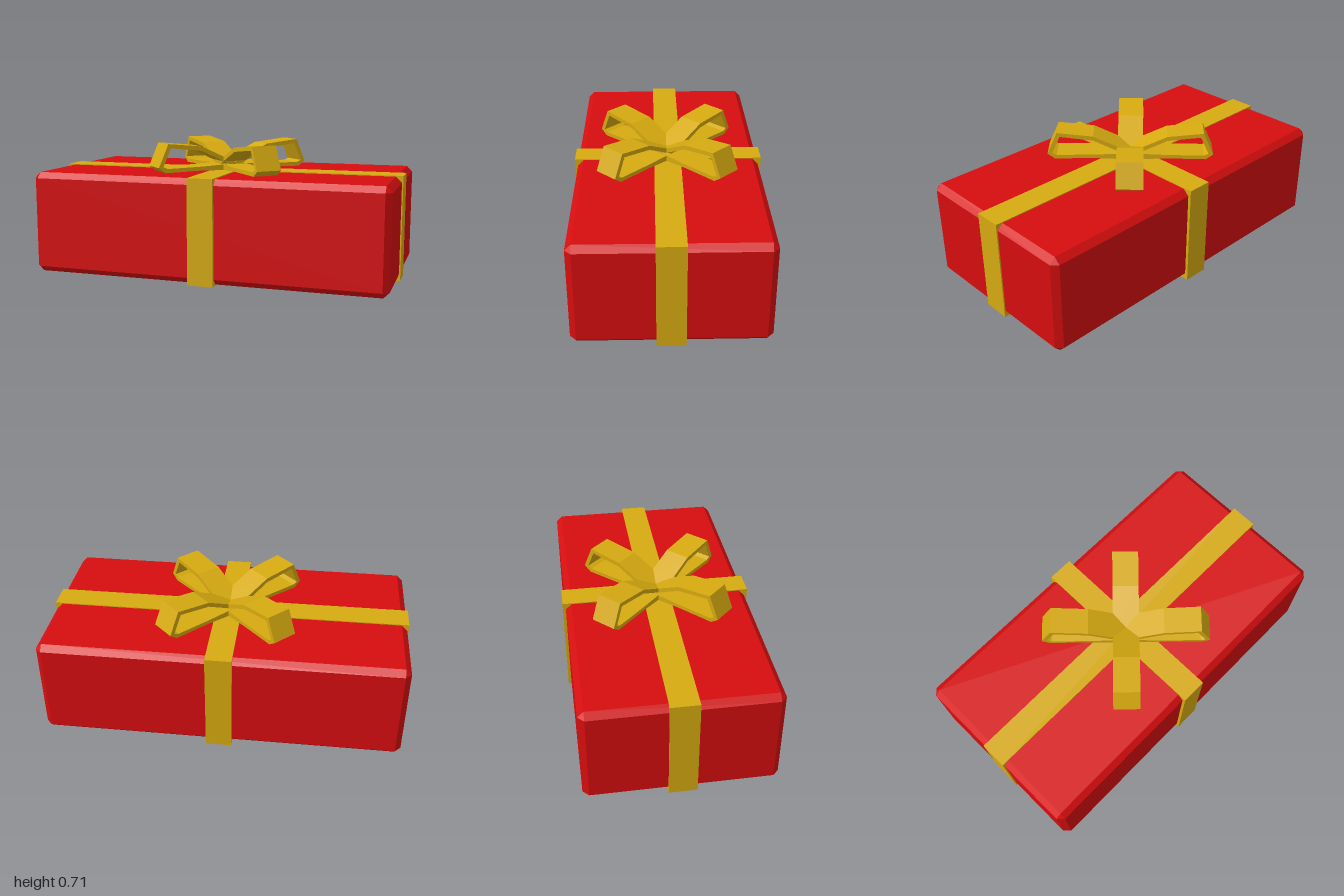
import * as THREE from 'three';
import { ConvexGeometry } from 'three/addons/geometries/ConvexGeometry.js';

const red = new THREE.MeshStandardMaterial({ color: 0xd60d0f });
red.name = 'red wrapping';
const gold = new THREE.MeshStandardMaterial({ color: 0xd6aa10 });
gold.name = 'gold ribbon';

const shapePoints = (pts) => pts.map(([x, y]) => new THREE.Vector2(x, y));

// Box with all twelve edges cut at 45 degrees; a, b, c are half sizes
function chamferedBox(a, b, c, cut) {
  const pts = [];
  for (const x of [-1, 1]) for (const y of [-1, 1]) for (const z of [-1, 1]) {
    pts.push(
      new THREE.Vector3(x * a, y * (b - cut), z * (c - cut)),
      new THREE.Vector3(x * (a - cut), y * b, z * (c - cut)),
      new THREE.Vector3(x * (a - cut), y * (b - cut), z * c)
    );
  }
  return new ConvexGeometry(pts);
}

export function createModel() {
  const gift = new THREE.Group();
  gift.name = 'giftBox';

  const add = (name, geometry, material, parent = gift) => {
    const mesh = new THREE.Mesh(geometry, material);
    mesh.name = name;
    parent.add(mesh);
    return mesh;
  };

  // Wrapped box
  add('box', chamferedBox(0.959, 0.273, 0.49, 0.031), red).position.y = 0.278;

  // Ribbon bands around the box
  add('longRibbon', new THREE.BoxGeometry(1.932, 0.556, 0.145), gold).position.set(0, 0.278, 0.003);
  add('shortRibbon', new THREE.BoxGeometry(0.138, 0.556, 1.012), gold).position.set(0.004, 0.278, 0);

  // Bow loop: folded strip seen from its side, x is the distance from the knot
  const loop = new THREE.Shape(shapePoints([
    [0, 0.553], [0.2, 0.56], [0.41, 0.556], [0.45, 0.585],
    [0.395, 0.71], [0.2, 0.69], [0, 0.597],
  ]));
  loop.holes.push(new THREE.Path(shapePoints([
    [0.035, 0.588], [0.2, 0.666], [0.38, 0.687],
    [0.424, 0.589], [0.4, 0.578], [0.2, 0.581],
  ])));
  const width = 0.14;
  const loopGeometry = new THREE.ExtrudeGeometry(loop, { depth: width, bevelEnabled: false });
  loopGeometry.translate(0, 0, -width / 2);

  // Four loops on the diagonals
  const bow = new THREE.Group();
  bow.name = 'bow';
  bow.position.set(0, 0, 0.008);
  for (let i = 0; i < 4; i++) {
    add('bowLoop' + (i + 1), loopGeometry, gold, bow).rotation.y = Math.PI / 4 + i * Math.PI / 2;
  }
  gift.add(bow);

  // The whole gift is turned slightly
  gift.rotation.y = 0.1;
  const model = new THREE.Group();
  model.name = 'gift';
  model.add(gift);
  return model;
}
